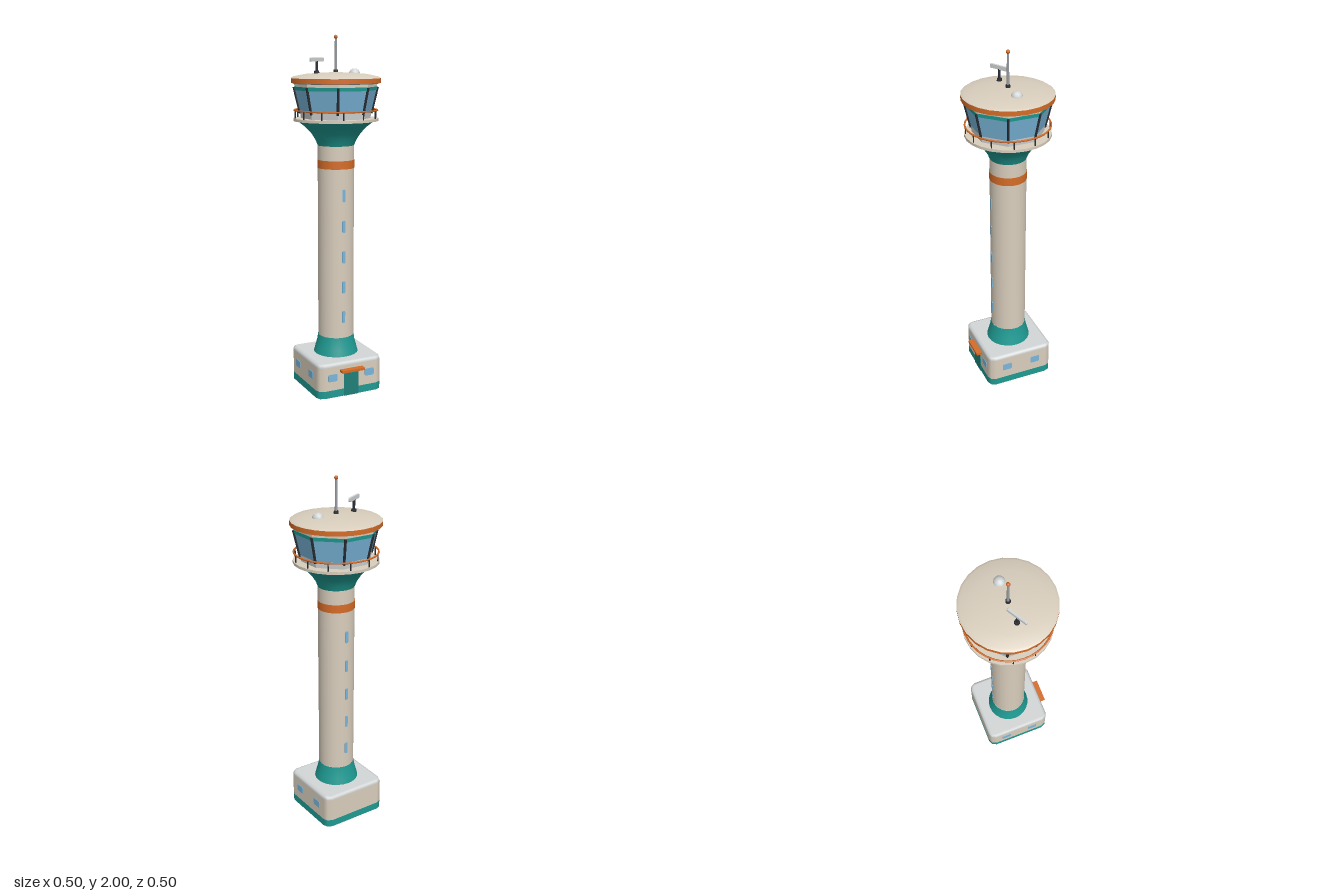
import * as THREE from 'three';

const paint = (name, color) => {
  const m = new THREE.MeshStandardMaterial({ color });
  m.name = name;
  return m;
};

export function createModel() {
  const concrete = paint('concrete', 0xd9cebd);
  const teal = paint('teal', 0x1f9a92);
  const doorTeal = paint('doorTeal', 0x1f7f78);
  const orange = paint('orange', 0xd56c28);
  const glass = paint('glass', 0x7ab6da);
  const white = paint('white', 0xd3d6d6);
  const steel = paint('steel', 0x9a9ea2);
  const dark = paint('dark', 0x2a2f35);
  const shell = (m) => { m.side = THREE.DoubleSide; return m; };
  shell(concrete); shell(teal); shell(white);

  const model = new THREE.Group();
  model.name = 'controlTower';
  const add = (name, geo, mat, x = 0, y = 0, z = 0, parent = model) => {
    const mesh = new THREE.Mesh(geo, mat);
    mesh.name = name;
    mesh.position.set(x, y, z);
    parent.add(mesh);
    return mesh;
  };
  const group = (name) => {
    const g = new THREE.Group();
    g.name = name;
    model.add(g);
    return g;
  };
  // Upright round part between two heights
  const tube = (name, mat, r0, r1, y0, y1, x = 0, sides = 24, open = false) =>
    add(name, new THREE.CylinderGeometry(r1, r0, y1 - y0, sides, 1, open), mat, x, (y0 + y1) / 2);
  const lathe = (name, mat, pts, sides = 24) =>
    add(name, new THREE.LatheGeometry(pts.map(([r, y]) => new THREE.Vector2(r, y)), sides), mat);

  // Stack of rounded-square rings [inset, y, tilt of the normals]
  const loft = (rings, cap) => {
    const pos = [], nor = [], idx = [], n = 12;
    for (const [inset, y, tilt] of rings) {
      for (let i = 0; i < n; i++) {
        const c = Math.floor(i / 3), a = (c + (i % 3) / 2) * Math.PI / 2;
        const mid = (c + 0.5) * Math.PI / 2, r = 0.04 - inset;
        pos.push(0.16 * Math.SQRT2 * Math.cos(mid) + r * Math.cos(a), y,
          0.16 * Math.SQRT2 * Math.sin(mid) + r * Math.sin(a));
        nor.push(Math.cos(a) * Math.cos(tilt), Math.sin(tilt), Math.sin(a) * Math.cos(tilt));
      }
    }
    for (let k = 0; k < rings.length - 1; k++) {
      for (let i = 0; i < n; i++) {
        const a = k * n + i, b = k * n + (i + 1) % n;
        idx.push(a, a + n, b + n, a, b + n, b);
      }
    }
    if (cap) {
      const top = (rings.length - 1) * n, centre = pos.length / 3;
      pos.push(0, rings[rings.length - 1][1], 0);
      nor.push(0, 1, 0);
      for (let i = 0; i < n; i++) idx.push(centre, top + (i + 1) % n, top + i);
    }
    const g = new THREE.BufferGeometry();
    g.setAttribute('position', new THREE.Float32BufferAttribute(pos, 3));
    g.setAttribute('normal', new THREE.Float32BufferAttribute(nor, 3));
    g.setIndex(idx);
    return g;
  };

  // Thin rounded plate facing +z
  const plate = (w, h, r) => {
    const s = new THREE.Shape(), x = w / 2, y = h / 2;
    s.moveTo(-x + r, -y);
    s.lineTo(x - r, -y); s.quadraticCurveTo(x, -y, x, -y + r);
    s.lineTo(x, y - r); s.quadraticCurveTo(x, y, x - r, y);
    s.lineTo(-x + r, y); s.quadraticCurveTo(-x, y, -x, y - r);
    s.lineTo(-x, -y + r); s.quadraticCurveTo(-x, -y, -x + r, -y);
    return new THREE.ExtrudeGeometry(s, { depth: 0.005, bevelEnabled: false, curveSegments: 3 });
  };

  // Base building, open underneath
  const q = Math.PI / 4, b = 0.02, bevel = b * (1 - Math.SQRT1_2);
  add('basePlinth', loft([[0, 0, 0], [0, 0.043, 0]], false), teal);
  add('baseWalls', loft([[0, 0.043, 0], [0, 0.18, 0]], false), concrete);
  add('baseRoof', loft([[0, 0.18, 0], [bevel, 0.18 + b * Math.SQRT1_2, q], [b, 0.2, 2 * q]], true), white);

  // Door, canopy and base windows
  add('door', new THREE.BoxGeometry(0.092, 0.135, 0.008), doorTeal, 0, 0.0675, 0.2);
  add('doorCanopy', new THREE.BoxGeometry(0.14, 0.014, 0.05), orange, 0, 0.153, 0.209);
  const baseWindows = group('baseWindows');
  const pane = plate(0.057, 0.042, 0.008);
  for (const s of [-1, 1]) {
    add('frontWindow', pane, glass, s * 0.115, 0.117, 0.198, baseWindows);
    for (const z of [-0.09, 0.09]) {
      add('sideWindow', pane, glass, s * 0.198, 0.117, z, baseWindows).rotation.y = s * Math.PI / 2;
    }
  }

  // Shaft with flared foot and painted band
  lathe('shaftFoot', teal, [[0.128, 0.198], [0.118, 0.235], [0.108, 0.272], [0.103, 0.305]]);
  tube('shaft', concrete, 0.102, 0.102, 0.305, 1.4, 0, 24, true);
  tube('shaftBand', orange, 0.104, 0.104, 1.274, 1.32);
  const slits = group('shaftWindows');
  const slit = plate(0.018, 0.07, 0.007);
  for (let i = 0; i < 5; i++) {
    for (const s of [1, -1]) {
      add('slitWindow', slit, glass, 0, 0.429 + i * 0.1745, s * 0.1, slits).rotation.y = s > 0 ? 0 : Math.PI;
    }
  }

  // Flared head and walkway deck
  lathe('headFlare', teal, [[0.102, 1.4], [0.115, 1.432], [0.138, 1.467], [0.17, 1.502], [0.203, 1.527], [0.222, 1.537]]);
  tube('walkwayDeck', concrete, 0.235, 0.235, 1.535, 1.55);

  // Railing
  const rail = add('handrail', new THREE.TorusGeometry(0.23, 0.005, 6, 36), orange, 0, 1.594, 0);
  rail.rotation.x = Math.PI / 2;
  const posts = group('railingPosts');
  const postGeo = new THREE.CylinderGeometry(0.0035, 0.0035, 0.045, 6);
  for (let i = 0; i < 12; i++) {
    const a = (15 + 30 * i) * Math.PI / 180;
    add('railingPost', postGeo, dark, 0.227 * Math.sin(a), 1.571, 0.227 * Math.cos(a), posts);
  }

  // Eight-sided cab, widening upward
  const cabRing = (name, mat, r0, r1, y0, y1) => {
    const g = new THREE.CylinderGeometry(r1, r0, y1 - y0, 8, 1, false, Math.PI / 8).toNonIndexed();
    g.computeVertexNormals();
    add(name, g, mat, 0, (y0 + y1) / 2);
  };
  cabRing('cabSill', white, 0.193, 0.198, 1.55, 1.585);
  cabRing('cabGlass', glass, 0.198, 0.225, 1.585, 1.703);
  cabRing('cabBand', teal, 0.229, 0.231, 1.703, 1.722);
  cabRing('cabHeader', concrete, 0.228, 0.229, 1.722, 1.75);
  const mullions = group('mullions');
  for (let i = 0; i < 8; i++) {
    const a = (22.5 + 45 * i) * Math.PI / 180;
    const at = (r, y) => new THREE.Vector3(r * Math.sin(a), y, r * Math.cos(a));
    const lo = at(0.197, 1.575), hi = at(0.231, 1.72);
    const m = add('mullion', new THREE.CylinderGeometry(0.007, 0.007, lo.distanceTo(hi), 6), dark, 0, 0, 0, mullions);
    m.position.copy(lo).add(hi).multiplyScalar(0.5);
    m.quaternion.setFromUnitVectors(new THREE.Vector3(0, 1, 0), hi.sub(lo).normalize());
  }

  // Roof: soffit, rim and low dome
  tube('roofSoffit', steel, 0.235, 0.24, 1.738, 1.745);
  tube('roofRim', orange, 0.249, 0.249, 1.742, 1.768, 0, 24, true);
  tube('roofRimUnderside', steel, 0.248, 0.248, 1.743, 1.75);
  lathe('roofTop', concrete, [[0.249, 1.768], [0.235, 1.777], [0.17, 1.79], [0.09, 1.797], [0, 1.8]]);

  // Antenna mast
  tube('mastBase', dark, 0.015, 0.012, 1.795, 1.815, 0, 8);
  tube('mast', steel, 0.008, 0.006, 1.81, 1.98, 0, 8);
  add('beacon', new THREE.SphereGeometry(0.011, 8, 6), orange, 0, 1.989).scale.y = 1;

  // Rotating radar bar
  tube('radarBase', dark, 0.016, 0.014, 1.79, 1.808, -0.115, 8);
  tube('radarPost', dark, 0.007, 0.007, 1.8, 1.86, -0.115, 8);
  const bar = add('radarBar', plate(0.118, 0.022, 0.006), white, -0.115, 1.868, 0);
  bar.geometry.translate(0, 0, -0.0025);
  bar.scale.z = 2.4;
  bar.rotation.y = Math.PI / 6;

  // Radome
  add('radome', new THREE.SphereGeometry(0.032, 10, 8), white, 0.115, 1.788);

  return model;
}
